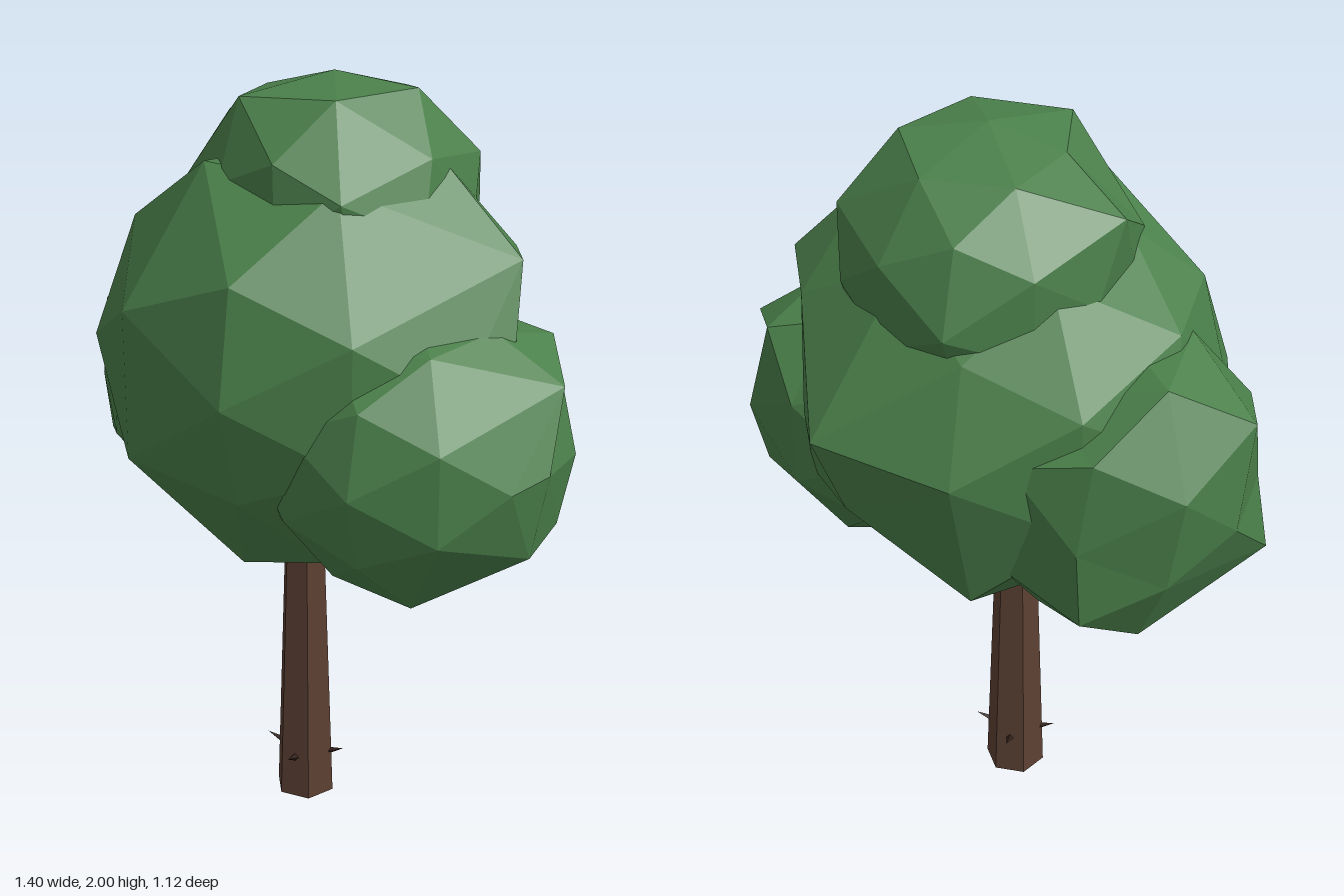
import * as THREE from 'three';

// Faceted foliage clump; each nudge pulls its nearest corner to a given point
function makeClump(name, material, center, radii, nudges) {
  const geometry = new THREE.IcosahedronGeometry(1, 1);
  geometry.scale(...radii).translate(...center);
  const pos = geometry.attributes.position;
  const corner = new THREE.Vector3();
  for (const point of nudges) {
    const target = new THREE.Vector3(...point);
    const nearest = new THREE.Vector3(Infinity, Infinity, Infinity);
    for (let i = 0; i < pos.count; i++) {
      corner.fromBufferAttribute(pos, i);
      if (corner.distanceTo(target) < nearest.distanceTo(target)) nearest.copy(corner);
    }
    for (let i = 0; i < pos.count; i++) {
      corner.fromBufferAttribute(pos, i);
      if (corner.distanceTo(nearest) < 0.001) pos.setXYZ(i, ...point);
    }
  }
  geometry.computeVertexNormals();
  const mesh = new THREE.Mesh(geometry, material);
  mesh.name = name;
  return mesh;
}

export function createModel() {
  const tree = new THREE.Group();
  tree.name = 'tree';

  const leaf = new THREE.MeshStandardMaterial({ color: 0x4a7f4a });
  const bark = new THREE.MeshStandardMaterial({ color: 0x5c4033 });
  const darkBark = new THREE.MeshStandardMaterial({ color: 0x33211a });
  leaf.name = 'leaf green';
  bark.name = 'bark brown';
  darkBark.name = 'dark bark';
  for (const m of [leaf, bark, darkBark]) m.flatShading = true;

  // Foliage: one large clump, one on each side and one on top
  tree.add(
    makeClump('mainFoliage', leaf, [0, 1.32, 0], [0.57, 0.51, 0.56], [
      // upper ring
      [0.33, 1.81, 0], [-0.2, 1.81, 0.22], [0.17, 1.79, 0.27], [0, 1.6, 0.5],
      [0.54, 1.6, 0.02], [-0.48, 1.61, 0.07], [0, 1.58, -0.43],
      // middle
      [-0.32, 1.48, 0.43], [-0.54, 1.32, 0.19], [0.35, 1.36, -0.49], [0.44, 1.3, -0.27],
      [0.56, 1.43, 0.11],
      // underside
      [-0.32, 1.1, 0.43], [-0.43, 1.0, 0.2], [-0.08, 0.8, 0.285], [0.15, 0.84, 0.28],
      [-0.02, 0.93, -0.45],
    ]),
    makeClump('leftSideFoliage', leaf, [0.31, 1.14, 0.14], [0.39, 0.37, 0.4], [
      [0.6, 1.4, -0.06], [0.69, 1.34, 0.13], [0.7, 1.16, 0.25], [0.69, 1.12, 0],
      [0.66, 0.94, 0.25], [0.66, 0.94, 0.03],
      [0.49, 0.8, 0.14], [0.07, 0.8, 0.14], [0.4, 0.8, 0.35], [0.42, 0.8, -0.05],
    ]),
    makeClump('rightSideFoliage', leaf, [-0.29, 1.16, -0.13], [0.41, 0.37, 0.39], [
      [-0.66, 1.42, -0.27], [-0.7, 0.98, -0.13], [-0.665, 1.2, -0.15], [-0.6, 1.16, 0.06],
      [-0.48, 1.55, -0.1], [-0.46, 1.53, -0.35], [-0.3, 1.56, -0.13],
      [-0.12, 1.36, -0.49], [-0.53, 1.3, -0.46], [-0.32, 1.4, -0.5],
      [-0.53, 0.81, -0.13], [-0.42, 0.82, -0.35], [-0.3, 0.95, -0.51],
    ]),
    makeClump('topFoliage', leaf, [0.03, 1.66, -0.05], [0.36, 0.34, 0.37], [
      [0.03, 2.0, -0.03], [0.24, 1.97, -0.05], [-0.13, 1.96, 0.17], [0.12, 1.97, 0.17],
      [-0.32, 1.85, -0.16], [0.37, 1.81, -0.14], [0.02, 1.84, 0.305], [0.19, 1.76, 0.3],
      [-0.33, 1.73, 0.06], [0.04, 1.64, -0.44],
    ]),
  );

  // Six-sided tapering trunk, reaching up into the foliage
  const trunk = new THREE.Mesh(new THREE.CylinderGeometry(0.042, 0.083, 1.2, 6), bark);
  trunk.name = 'trunk';
  trunk.rotation.y = Math.PI / 2;
  trunk.position.set(-0.028, 0.6, 0.025);
  tree.add(trunk);

  // Four small thorns around the base, tilted slightly upwards
  const thornShape = new THREE.ConeGeometry(0.013, 0.06, 4);
  thornShape.rotateZ(-Math.PI / 2 + 0.35).translate(0.086, 0.13, 0);
  for (let i = 0; i < 4; i++) {
    const thorn = new THREE.Mesh(thornShape, darkBark);
    thorn.name = 'thorn' + (i + 1);
    thorn.position.set(-0.028, 0, 0.025);
    thorn.rotation.y = i * Math.PI / 2;
    tree.add(thorn);
  }

  return tree;
}
